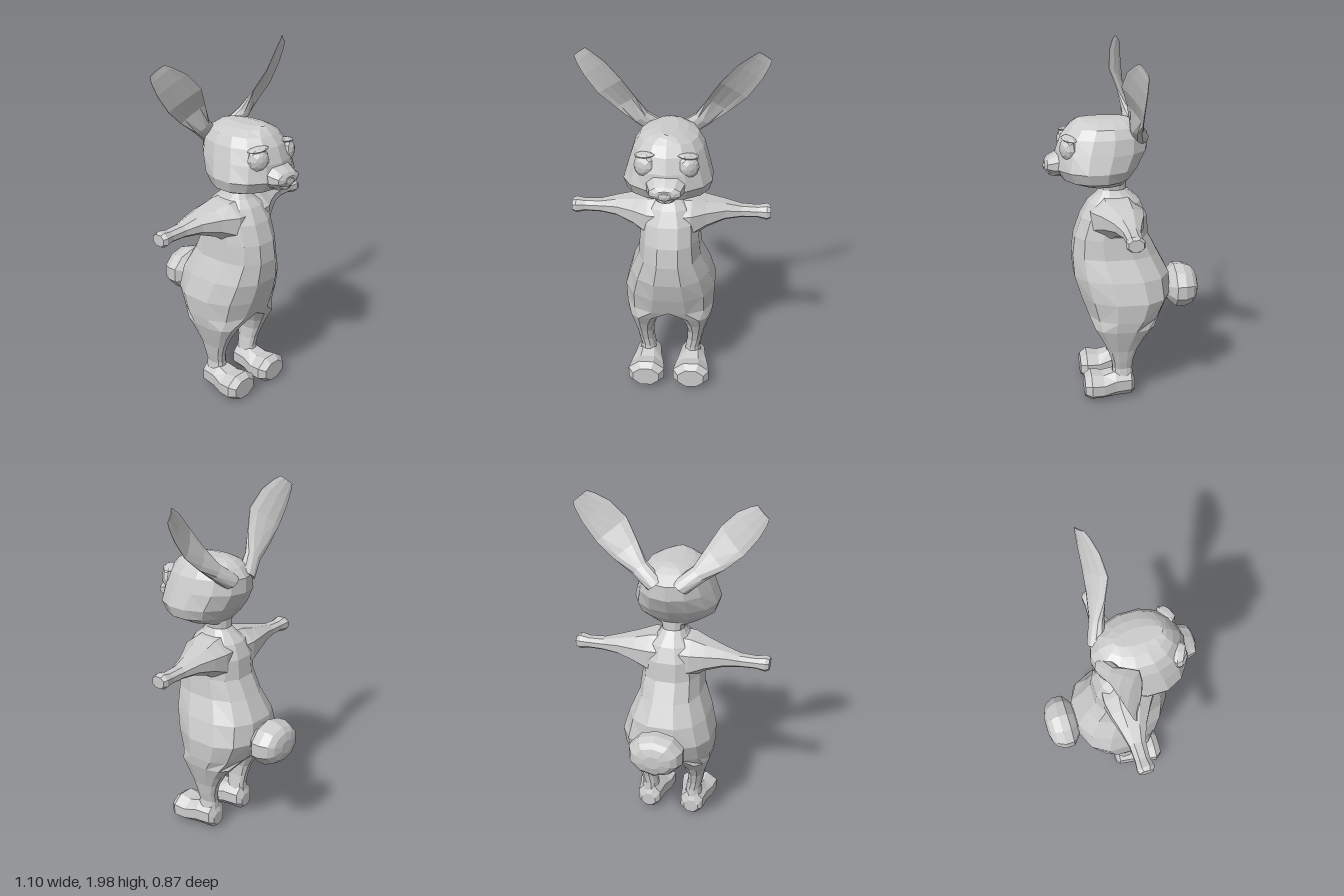
import * as THREE from 'three';

const material = new THREE.MeshStandardMaterial({ color: 0xcccccc, flatShading: true });
const V = (x, y, z) => new THREE.Vector3(x, y, z);

// Skins a list of equal-length rings and caps both ends; winding is fixed by signed volume
function loft(name, rings) {
  const n = rings[0].length, tris = [];
  for (let i = 0; i < rings.length - 1; i++) {
    for (let j = 0; j < n; j++) {
      const k = (j + 1) % n, a = rings[i], b = rings[i + 1];
      tris.push([a[j], a[k], b[k]], [a[j], b[k], b[j]]);
    }
  }
  const cap = (ring, flip) => {
    const c = V(0, 0, 0);
    ring.forEach((p) => c.addScaledVector(p, 1 / n));
    ring.forEach((p, j) => {
      const q = ring[(j + 1) % n];
      tris.push(flip ? [c, q, p] : [c, p, q]);
    });
  };
  cap(rings[0], true);
  cap(rings[rings.length - 1], false);
  let volume = 0;
  for (const [a, b, c] of tris) volume += a.dot(b.clone().cross(c));
  if (volume < 0) tris.forEach((t) => t.reverse());
  const geometry = new THREE.BufferGeometry().setFromPoints(tris.flat());
  geometry.computeVertexNormals();
  const mesh = new THREE.Mesh(geometry, material);
  mesh.name = name;
  return mesh;
}

// Rounded ring: fullness below 1 makes it boxier
function ring(n, fullness, place) {
  const f = (t) => Math.sign(t) * Math.pow(Math.abs(t), fullness);
  return Array.from({ length: n }, (_, i) => {
    const a = ((i + 0.5) / n) * Math.PI * 2;
    return place(f(Math.cos(a)), f(Math.sin(a)));
  });
}

// Horizontal ring with separate front and back reach about zMid
const level = (n, full) => ([y, cx, rx, zFront, zBack, zMid = (zFront + zBack) / 2]) =>
  ring(n, full, (c, s) => V(cx + c * rx, y, zMid + s * (s > 0 ? zFront - zMid : zMid - zBack)));

function ellipsoid(name, position, scale, ws = 10, hs = 6) {
  const mesh = new THREE.Mesh(new THREE.SphereGeometry(1, ws, hs), material);
  mesh.geometry.rotateX(Math.PI / 2);
  mesh.position.set(...position);
  mesh.scale.set(...scale);
  mesh.name = name;
  return mesh;
}

// Widest torso ring, shared by the torso and the tops of the legs
const HIP = [0.62, 0, 0.262, 0.25, -0.268, -0.04];

function createArm(s) {
  // x, top, bottom, front, back
  const rows = [
    [0.03, 1.205, 0.93, 0.2, -0.11], [0.12, 1.198, 0.955, 0.195, -0.115],
    [0.2, 1.175, 1.008, 0.142, -0.1], [0.3, 1.15, 1.045, 0.085, -0.07],
    [0.39, 1.126, 1.055, 0.052, -0.047], [0.48, 1.122, 1.056, 0.046, -0.042],
    [0.53, 1.132, 1.045, 0.056, -0.048], [0.552, 1.122, 1.055, 0.046, -0.038]];
  return loft(s > 0 ? 'leftArm' : 'rightArm', rows.map(([x, t, b, f, k]) =>
    ring(8, 0.9, (c, v) => V(s * x, (t + b) / 2 + c * (t - b) / 2, (f + k) / 2 + v * (f - k) / 2))));
}

function createLeg(s) {
  // y, centre x, half width, front, back; the thigh is cut flat at the middle of the body
  const rows = [
    HIP, [0.51, 0.02, 0.236, 0.208, -0.215, -0.02],
    [0.45, 0.14, 0.104, 0.178, -0.165], [0.38, 0.15, 0.072, 0.137, -0.105],
    [0.31, 0.15, 0.05, 0.105, -0.065], [0.24, 0.143, 0.044, 0.082, -0.045],
    [0.19, 0.133, 0.042, 0.076, -0.04], [0.11, 0.133, 0.055, 0.08, -0.045]];
  const rings = rows.map(level(12, 0.82));
  for (const p of rings.flat()) p.x = s * Math.max(0, p.x);
  return loft(s > 0 ? 'leftLeg' : 'rightLeg', rings);
}

function createFoot(s) {
  // z, half width, bottom, top
  const rows = [
    [-0.052, 0.045, 0.035, 0.12], [-0.03, 0.072, 0.016, 0.175], [0.06, 0.084, 0.012, 0.178],
    [0.13, 0.104, 0.006, 0.158], [0.2, 0.113, 0.004, 0.17], [0.237, 0.082, 0.022, 0.142]];
  return loft(s > 0 ? 'leftFoot' : 'rightFoot', rows.map(([z, rx, b, t]) =>
    ring(8, 1, (c, v) => V(s * (0.131 + c * rx), (t + b) / 2 + v * (t - b) / 2, z))));
}

function createEar(s) {
  // spine x, y, z, half width, thickness, forward lean of the inner edge
  const rows = [
    [0.07, 1.53, -0.085, 0.05, 0.05, 0], [0.165, 1.605, -0.055, 0.05, 0.036, 0.01],
    [0.245, 1.69, -0.028, 0.075, 0.028, 0.035], [0.325, 1.785, -0.006, 0.095, 0.024, 0.05],
    [0.405, 1.88, -0.014, 0.086, 0.021, 0.042], [0.46, 1.938, -0.028, 0.062, 0.017, 0.028],
    [0.483, 1.964, -0.038, 0.045, 0.012, 0.018]];
  return loft(s > 0 ? 'leftEar' : 'rightEar', rows.map(([x, y, z, w, t, lean], i) =>
    ring(10, 1, (c, v) => {
      const hollow = v > 0 && i > 1 ? -0.45 : 1;
      return V(s * (x + c * w * 0.78), y - c * w * 0.63, z + v * t * hollow - c * lean);
    })));
}

export function createModel() {
  const model = new THREE.Group();
  model.name = 'rabbit';

  // Pear-shaped torso running up into the neck
  const torso = [
    HIP, [0.74, 0, 0.228, 0.285, -0.262, -0.01],
    [0.86, 0, 0.178, 0.292, -0.2, 0.03], [0.97, 0, 0.168, 0.277, -0.145, 0.05],
    [1.08, 0, 0.16, 0.238, -0.135, 0.04], [1.16, 0, 0.12, 0.192, -0.1],
    [1.2, 0, 0.08, 0.148, -0.055], [1.23, 0, 0.064, 0.128, -0.022], [1.28, 0, 0.072, 0.13, -0.02]];
  model.add(loft('torso', torso.map(level(12, 0.82))));

  // Head with full cheeks and a narrow crown
  const head = [
    [1.258, 0, 0.09, 0.16, -0.01], [1.275, 0, 0.155, 0.25, -0.015, 0.12],
    [1.31, 0, 0.222, 0.34, -0.045, 0.15], [1.37, 0, 0.24, 0.375, -0.09, 0.16],
    [1.46, 0, 0.213, 0.365, -0.14, 0.14], [1.54, 0, 0.187, 0.335, -0.137, 0.12],
    [1.59, 0, 0.155, 0.295, -0.095, 0.11], [1.617, 0, 0.1, 0.265, -0.055, 0.1],
    [1.63, 0, 0.045, 0.245, -0.015, 0.1]];
  model.add(loft('head', head.map(level(14, 0.95))));

  // Muzzle, lower lip and nose
  const muzzle = [
    [0.31, 0.12, 1.315, 1.48], [0.38, 0.093, 1.325, 1.44], [0.412, 0.084, 1.345, 1.42], [0.425, 0.05, 1.36, 1.4]];
  model.add(loft('muzzle', muzzle.map(([z, rx, b, t]) =>
    ring(10, 0.95, (c, v) => V(c * rx, (t + b) / 2 + v * (t - b) / 2, z)))));
  model.add(ellipsoid('lowerLip', [0, 1.338, 0.36], [0.06, 0.028, 0.055], 8, 5));
  model.add(ellipsoid('nose', [0, 1.37, 0.41], [0.046, 0.03, 0.024], 8, 5));

  // Round tail, widest near the body
  const tail = [
    [-0.235, 0.07], [-0.265, 0.115], [-0.3, 0.157], [-0.35, 0.16], [-0.395, 0.138], [-0.42, 0.105], [-0.433, 0.05]];
  model.add(loft('tail', tail.map(([z, r]) =>
    ring(10, 1, (c, v) => V(c * r, 0.628 + v * r * 0.78, z)))));

  for (const s of [1, -1]) {
    const side = s > 0 ? 'left' : 'right';
    model.add(createArm(s), createLeg(s), createFoot(s), createEar(s));

    // Bulging eyes, each under a brow ridge
    const eye = ellipsoid(side + 'Eye', [s * 0.112, 1.487, 0.3], [0.06, 0.066, 0.046]);
    eye.rotation.y = s * 0.45;
    const brow = ellipsoid(side + 'Brow', [s * 0.112, 1.543, 0.297], [0.06, 0.014, 0.04], 8, 4);
    brow.rotation.set(0, s * 0.45, s * -0.15);
    model.add(eye, brow);
  }
  return model;
}
